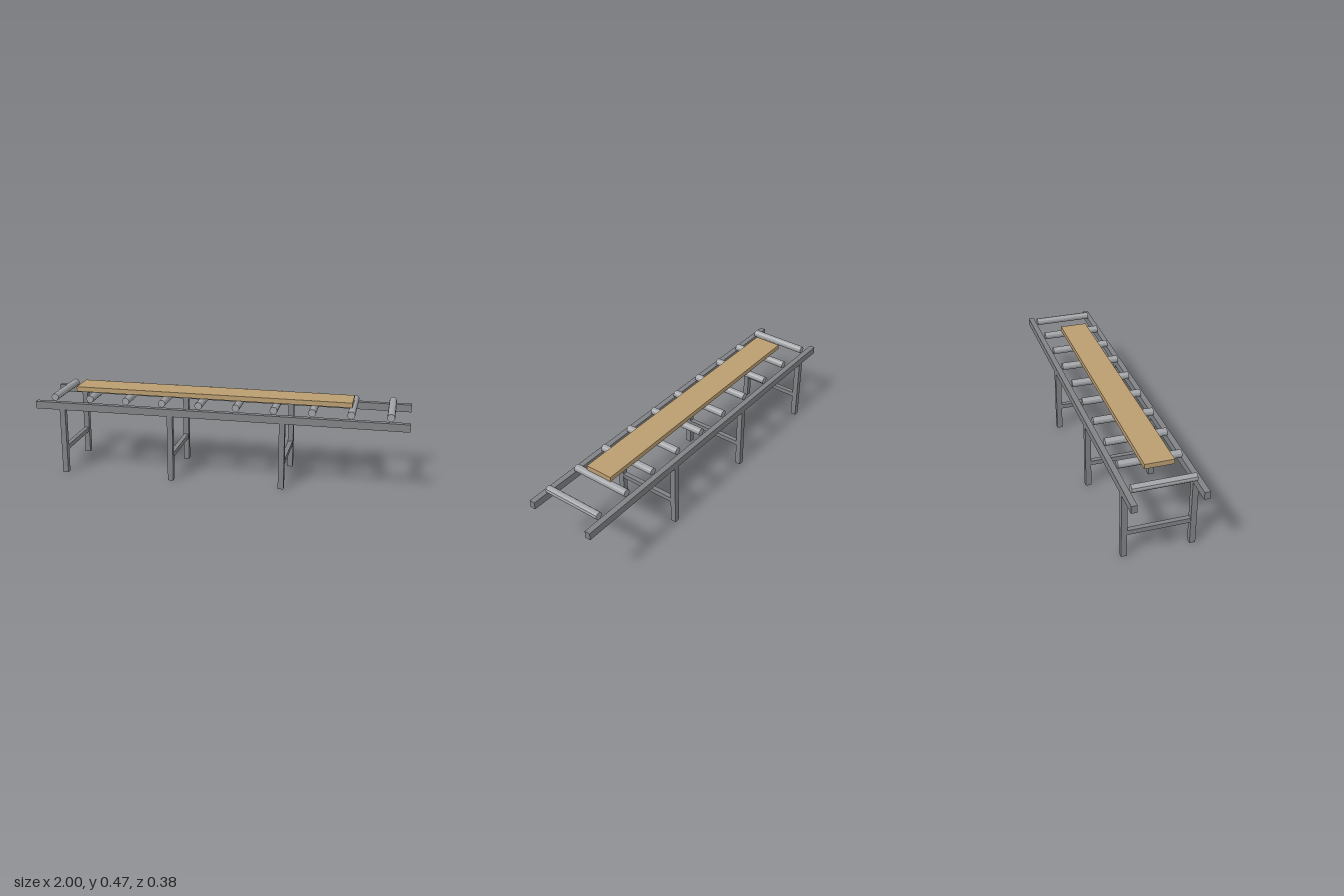
import * as THREE from 'three';

export function createModel() {
  const model = new THREE.Group();
  model.name = 'rollerConveyor';

  const frameSteel = new THREE.MeshStandardMaterial({ color: 0x808285 });
  frameSteel.name = 'frame steel';
  const rollerSteel = new THREE.MeshStandardMaterial({ color: 0xa0a2a5 });
  rollerSteel.name = 'roller steel';
  rollerSteel.flatShading = true;
  const wood = new THREE.MeshStandardMaterial({ color: 0xba9d70 });
  wood.name = 'wood';

  const add = (name, geometry, material, x, y, z) => {
    const mesh = new THREE.Mesh(geometry, material);
    mesh.name = name;
    mesh.position.set(x, y, z);
    model.add(mesh);
    return mesh;
  };

  // Long side rails
  const rail = new THREE.BoxGeometry(2, 0.04, 0.03);
  for (const side of [-1, 1]) add('sideRail', rail, frameSteel, 0, 0.38, side * 0.175);

  // Leg pairs joined by a cross brace
  const leg = new THREE.BoxGeometry(0.03, 0.36, 0.03);
  const brace = new THREE.BoxGeometry(0.025, 0.025, 0.32);
  for (const x of [-0.85, -0.25, 0.35]) {
    for (const side of [-1, 1]) add('leg', leg, frameSteel, x, 0.18, side * 0.175);
    add('crossBrace', brace, frameSteel, x, 0.1375, 0);
  }

  // Ten rollers resting at rail height
  const roller = new THREE.CylinderGeometry(0.02, 0.02, 0.32, 12).rotateX(Math.PI / 2);
  for (let i = 0; i < 10; i++) add('roller', roller, rollerSteel, -0.9 + i * 0.2, 0.42, 0);

  // Plank lying on the rollers
  add('plank', new THREE.BoxGeometry(1.5, 0.026, 0.15), wood, -0.05, 0.453, 0.015);

  return model;
}
